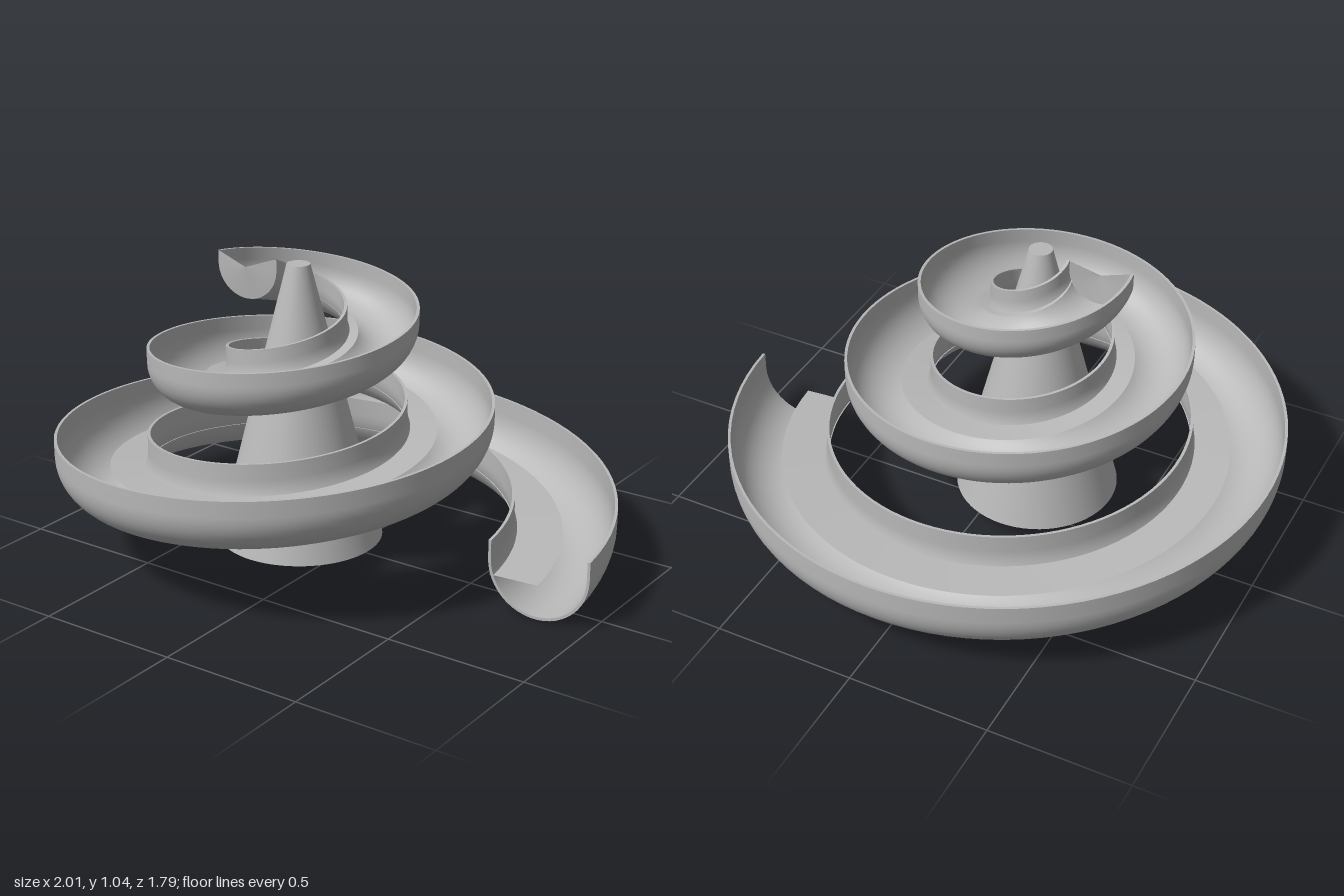
import * as THREE from 'three';

const TURNS = 5;            // half-turns, from the top mouth to the bottom exit
const STEPS = 240;
const WALL = 0.01;
const AXIS = new THREE.Vector3(-0.13, 0, 0.11);

// Half width and rim height of the trough along the spiral
const halfWidth = n => 0.115 + 0.013 * n;
const rimHeight = n => 1.045 - 0.159 * n;
const shelfWidth = n => 0.02 + 0.032 * n;

// Centre of the trough: a widening spiral starting at -x and passing behind the axis
function centre(n) {
  const a = Math.PI * (1 + n);
  const r = 0.33 * Math.pow(1.279, n) - halfWidth(n);
  return new THREE.Vector3(AXIS.x + r * Math.cos(a), rimHeight(n), AXIS.z + r * Math.sin(a));
}

// Point at u outwards and v upwards from the rim centre, f forwards along the path
function place(n, u, v, f = 0) {
  const t = centre(n + 0.001).sub(centre(n - 0.001)).setY(0).normalize();
  return centre(n).add(new THREE.Vector3(t.z * u + t.x * f, v, -t.x * u + t.z * f));
}

// Surface through rows of points of equal length
function loft(rows) {
  const cols = rows[0].length;
  const index = [];
  for (let i = 0; i < rows.length - 1; i++) {
    for (let j = 0; j < cols - 1; j++) {
      const a = i * cols + j, b = a + cols;
      index.push(a, a + 1, b, b, a + 1, b + 1);
    }
  }
  const g = new THREE.BufferGeometry().setFromPoints(rows.flat());
  g.setIndex(index);
  g.computeVertexNormals();
  return g;
}

// Sweep a profile function n -> [[u, v], ...] down the whole spiral
function sweep(profile) {
  const rows = [];
  for (let i = 0; i <= STEPS; i++) {
    const n = TURNS * i / STEPS;
    rows.push(profile(n).map(([u, v]) => place(n, u, v)));
  }
  return loft(rows);
}

// U-shaped section: short straight walls above a half circle, from outer to inner rim
function uSection(n, inset) {
  const w = halfWidth(n), r = w - inset, drop = -0.36 * w;
  const pts = [[r, 0]];
  for (let i = 0; i <= 24; i++) {
    const a = -Math.PI * i / 24;
    pts.push([r * Math.cos(a), drop + r * Math.sin(a)]);
  }
  pts.push([-r, 0]);
  return pts;
}

export function createModel() {
  const model = new THREE.Group();
  model.name = 'spiralSlide';
  const grey = new THREE.MeshStandardMaterial({ color: 0xb8b8b8, side: THREE.DoubleSide });
  grey.name = 'plainGrey';

  const add = (name, geometry) => {
    const mesh = new THREE.Mesh(geometry, grey);
    mesh.name = name;
    model.add(mesh);
    return mesh;
  };

  // Tapered central column
  const column = add('centralColumn', new THREE.CylinderGeometry(0.04, 0.285, 0.975, 64));
  column.position.set(AXIS.x, 0.5625, AXIS.z);

  // Trough walls, outside and inside
  add('troughOutside', sweep(n => uSection(n, 0)));
  add('troughInside', sweep(n => uSection(n, WALL).reverse()));

  // Flat rims on both edges
  for (const [name, s] of [['outerRim', 1], ['innerRim', -1]]) {
    add(name, sweep(n => {
      const w = halfWidth(n);
      const pts = [[s * (w - WALL), 0], [s * w, 0]];
      return s > 0 ? pts : pts.reverse();
    }));
  }

  // Raised ledge along the inner wall
  add('innerLedge', sweep(n => {
    const w = halfWidth(n), y = -0.68 * w;
    return [[-w * 0.97, y], [-w + shelfWidth(n), y]];
  }));

  // Closed top mouth, notched down to its middle
  const mouth = uSection(0, 0).map(([u, v]) => place(0, u, v));
  const hub = place(0, 0, -0.36 * halfWidth(0), -0.012);
  add('topMouthPanel', loft([mouth, mouth.map(() => hub.clone())]));

  // Wall thickness at the bottom exit
  add('exitEdge', loft([0, WALL].map(t => uSection(TURNS, t).map(([u, v]) => place(TURNS, u, v)))));

  return model;
}
